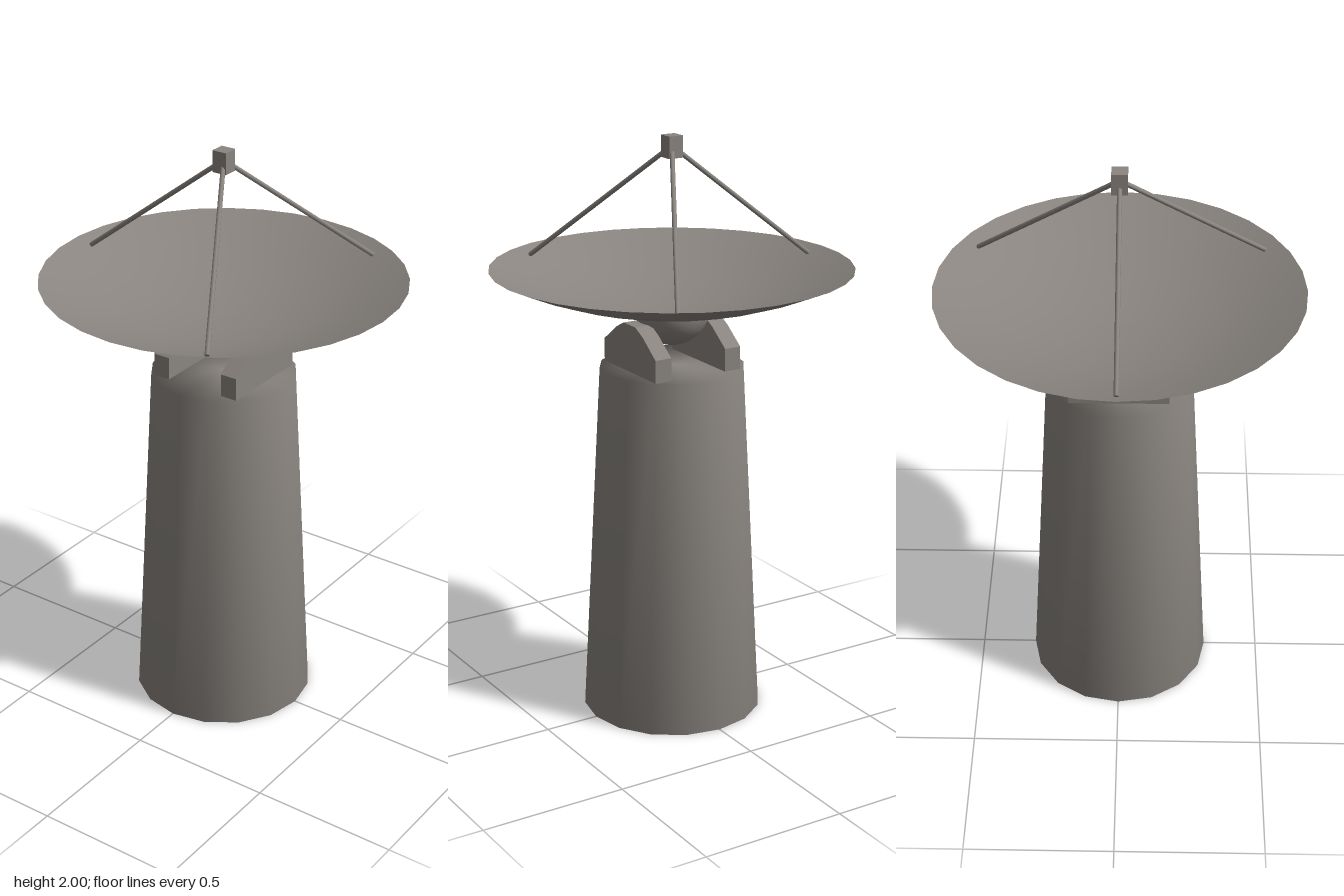
import * as THREE from 'three';
import { mergeVertices } from 'three/addons/utils/BufferGeometryUtils.js';

export function createModel() {
  const model = new THREE.Group();
  model.name = 'dishAntenna';
  const metal = new THREE.MeshStandardMaterial({ color: 0x8a8580, side: THREE.DoubleSide });
  metal.name = 'warmGreyMetal';

  const add = (name, geometry, x = 0, y = 0, z = 0) => {
    const mesh = new THREE.Mesh(geometry, metal);
    mesh.name = name;
    mesh.position.set(x, y, z);
    model.add(mesh);
    return mesh;
  };

  // Tapered tower, shaded smoothly across its rims
  const shell = new THREE.CylinderGeometry(0.245, 0.31, 1.225, 16);
  shell.deleteAttribute('uv');
  shell.deleteAttribute('normal');
  const tower = mergeVertices(shell, 1e-4);
  tower.computeVertexNormals();
  add('tower', tower, 0, 0.6125, 0);

  // Pair of mounting brackets with a rounded top
  const outline = [
    [-0.165, 1.22], [0.165, 1.22], [0.165, 1.303], [0.085, 1.362],
    [0.038, 1.386], [-0.038, 1.386], [-0.085, 1.362], [-0.165, 1.303],
  ].map(([x, y]) => new THREE.Vector2(x, y));
  const bracket = new THREE.ExtrudeGeometry(new THREE.Shape(outline), { depth: 0.06, bevelEnabled: false });
  add('frontBracket', bracket, 0, 0, 0.105);
  add('backBracket', bracket, 0, 0, -0.165);

  // Pivot under the dish
  add('pivot', new THREE.SphereGeometry(0.127, 32, 12, 0, Math.PI * 2, Math.PI / 2, Math.PI / 2), 0, 1.425, 0);

  // Thin shallow bowl
  const dishRadius = 0.607;
  const dishHeight = (r) => 1.42 + 0.142 * (r / dishRadius) ** 2;
  const profile = [0, 0.08, 0.16, 0.245, 0.325, 0.405, 0.505, dishRadius]
    .map((r) => new THREE.Vector2(r, dishHeight(r)));
  add('dish', new THREE.LatheGeometry(profile, 32));

  // Receiver and its three struts
  add('receiver', new THREE.BoxGeometry(0.052, 0.073, 0.052), 0, 1.9635, 0);
  const top = new THREE.Vector3(0, 1.965, 0);
  for (let i = 0; i < 3; i++) {
    const a = Math.PI + (i * Math.PI * 2) / 3;
    const foot = new THREE.Vector3(Math.sin(a) * 0.553, 1.543, Math.cos(a) * 0.553);
    const along = top.clone().sub(foot);
    const strut = add('strut' + (i + 1), new THREE.CylinderGeometry(0.008, 0.008, along.length(), 8));
    strut.position.copy(foot).add(top).multiplyScalar(0.5);
    strut.quaternion.setFromUnitVectors(new THREE.Vector3(0, 1, 0), along.normalize());
  }
  return model;
}
